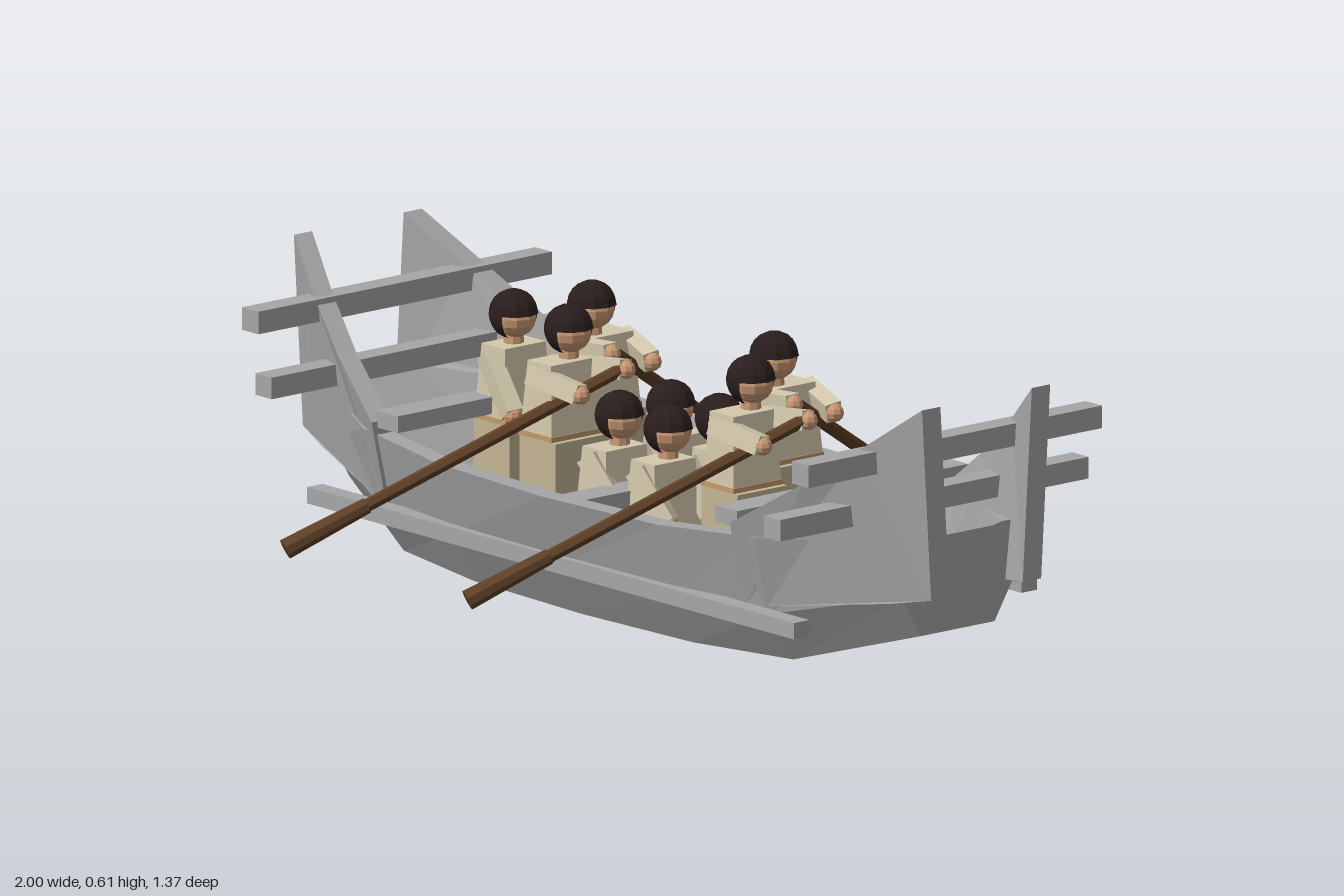
import * as THREE from 'three';

const mat = (name, color) => {
  const m = new THREE.MeshStandardMaterial({ color, flatShading: true, side: THREE.DoubleSide });
  m.name = name;
  return m;
};

export function createModel() {
  const root = new THREE.Group();
  const M = {
    wood: mat('grey wood', 0xa6a6a6),
    cloth: mat('beige cloth', 0xd3c8ac),
    skirt: mat('tan cloth', 0xc4b595),
    belt: mat('belt tan', 0xc49a6c),
    skin: mat('skin', 0xc99873),
    hair: mat('dark hair', 0x2a1d1d),
    oar: mat('oar brown', 0x5e4026),
  };
  const add = (parent, name, geo, m, x = 0, y = 0, z = 0) => {
    const mesh = new THREE.Mesh(geo, m);
    mesh.name = name;
    mesh.position.set(x, y, z);
    parent.add(mesh);
    return mesh;
  };
  const box = (parent, name, m, w, h, d, x, y, z) =>
    add(parent, name, new THREE.BoxGeometry(w, h, d), m, x, y, z);
  // Place a y-aligned part so that it runs from a to b
  const span = (mesh, a, b) => {
    mesh.position.copy(a).lerp(b, 0.5);
    mesh.quaternion.setFromUnitVectors(new THREE.Vector3(0, 1, 0), b.clone().sub(a).normalize());
    return mesh;
  };
  const V = (x, y, z) => new THREE.Vector3(x, y, z);

  // Hull shell: x, keel y, floor half width, chine y, chine, rim y, rim, inner floor y
  const half = [
    [0, 0, 0.245, 0.115, 0.31, 0.27, 0.36, 0.06],
    [0.35, 0.004, 0.24, 0.115, 0.303, 0.272, 0.343, 0.06],
    [0.62, 0.012, 0.2, 0.12, 0.27, 0.29, 0.31, 0.06],
    [0.91, 0.1, 0.1, 0.19, 0.155, 0.31, 0.165, 0.305],
  ];
  const stations = [...half.slice(1).reverse().map(([x, ...r]) => [-x, ...r]), ...half];
  const rings = stations.map(([x, y0, b, cy, c, ty, t, fy]) => {
    const side = [[b, y0], [c, cy], [t, ty], [t - 0.045, ty], [c - 0.06, fy]];
    return [...side, ...side.slice().reverse().map(([z, y]) => [-z, y])].map(([z, y]) => V(x, y, z));
  });
  const tri = [];
  const n = rings[0].length;
  for (let i = 0; i < rings.length - 1; i++) {
    for (let j = 0; j < n; j++) {
      const k = (j + 1) % n;
      const [a, b, c, d] = [rings[i][j], rings[i + 1][j], rings[i + 1][k], rings[i][k]];
      tri.push(a, b, c, a, c, d);
    }
  }
  const first = rings[0], last = rings[rings.length - 1];
  for (let j = 1; j < n - 1; j++) {
    tri.push(first[0], first[j], first[j + 1], last[0], last[j + 1], last[j]);
  }
  const hullGeo = new THREE.BufferGeometry().setFromPoints(tri);
  hullGeo.computeVertexNormals();
  add(root, 'hull', hullGeo, M.wood);

  // Four rising end planks that lean outwards and close in towards the tips
  const outline = [[0.57, 0.13], [0.9, 0.18], [1, 0.2], [1, 0.61], [0.87, 0.512], [0.74, 0.42], [0.57, 0.315]];
  const plankGeo = new THREE.ExtrudeGeometry(
    new THREE.Shape(outline.map(([x, y]) => new THREE.Vector2(x, y))),
    { depth: 0.05, bevelEnabled: false });
  const p = plankGeo.attributes.position;
  for (let i = 0; i < p.count; i++) {
    const x = p.getX(i), y = p.getY(i), t = (x - 0.57) / 0.43;
    const inner = 0.29 + (y - 0.13) * 0.22;
    const tip = 0.15 + (y - 0.2) * 0.06;
    p.setZ(i, p.getZ(i) - 0.05 + inner * (1 - t) + tip * t);
  }
  plankGeo.computeVertexNormals();
  for (const sx of [1, -1]) {
    for (const sz of [1, -1]) add(root, 'endPlank', plankGeo, M.wood).scale.set(sx, 1, sz);
    // Cross beams and end thwart
    box(root, 'upperCrossBeam', M.wood, 0.052, 0.048, 0.8, sx * 0.876, 0.486, 0);
    box(root, 'lowerCrossBeam', M.wood, 0.052, 0.046, 0.84, sx * 0.81, 0.362, 0);
    box(root, 'endThwart', M.wood, 0.07, 0.036, 0.63, sx * 0.54, 0.32, 0);
    // Outer rubbing rails, one per side
    box(root, 'sideRail', M.wood, 1.55, 0.035, 0.042, 0, 0.122, sx * 0.31);
  }
  box(root, 'middleThwart', M.wood, 0.07, 0.036, 0.62, 0, 0.235, 0);

  // Oars
  const oar = (butt, tip) => {
    const g = new THREE.Group();
    g.name = 'oar';
    root.add(g);
    const len = butt.distanceTo(tip);
    span(add(g, 'oarShaft', new THREE.CylinderGeometry(0.014, 0.014, len, 6), M.oar), butt, tip);
    const neck = butt.clone().lerp(tip, 0.76);
    const blade = add(g, 'oarBlade', new THREE.CylinderGeometry(0.022, 0.017, len * 0.24, 8), M.oar);
    span(blade, neck, tip);
  };
  for (const dx of [0, 0.58]) {
    oar(V(-0.12 + dx, 0.47, 0.02), V(-0.455 + dx, 0.12, 0.665));
    oar(V(-0.24 + dx, 0.47, -0.04), V(-0.575 + dx, 0.12, -0.675));
  }

  // Crew, all facing +x; origin is the centre of the head
  const torsoGeo = new THREE.BoxGeometry(0.1, 0.155, 0.13);
  const tp = torsoGeo.attributes.position;
  for (let i = 0; i < tp.count; i++) {
    if (tp.getY(i) > 0) tp.setXYZ(i, tp.getX(i) * 0.75, tp.getY(i), tp.getZ(i) * 0.85);
  }
  torsoGeo.computeVertexNormals();
  const person = (name, x, y, z, shift, hands) => {
    const g = new THREE.Group();
    g.name = name;
    g.position.set(x, y, z);
    root.add(g);
    add(g, 'face', new THREE.SphereGeometry(0.044, 10, 8), M.skin, 0.006, -0.004, 0);
    add(g, 'hairTop', new THREE.SphereGeometry(0.053, 10, 5, 0, Math.PI * 2, 0, Math.PI * 0.48), M.hair);
    add(g, 'hairBack', new THREE.SphereGeometry(0.052, 10, 6, -Math.PI * 0.62, Math.PI * 1.24,
      Math.PI * 0.45, Math.PI * 0.4), M.hair);
    add(g, 'neck', new THREE.CylinderGeometry(0.02, 0.022, 0.04, 8), M.skin, 0, -0.05, 0);
    add(g, 'torso', torsoGeo, M.cloth, 0, -0.138, shift);
    box(g, 'belt', M.belt, 0.104, 0.012, 0.134, 0, -0.215, shift);
    const drop = y - 0.22 - 0.06;
    box(g, 'skirt', M.skirt, 0.115, drop, 0.135, 0.008, -0.22 - drop / 2, shift);
    hands.forEach(([hx, hy, hz], i) => {
      const shoulder = V(0, -0.085, shift + (i ? -0.066 : 0.066));
      const hand = V(hx, hy, hz);
      const wrist = shoulder.clone().lerp(hand, 0.9);
      const len = shoulder.distanceTo(wrist) + 0.02;
      span(add(g, 'sleeve', new THREE.BoxGeometry(0.042, len, 0.036), M.cloth), shoulder, wrist);
      add(g, 'hand', new THREE.SphereGeometry(0.02, 8, 6), M.skin, hx, hy, hz);
    });
  };
  for (const dx of [0, 0.58]) {
    person('nearRower', -0.235 + dx, 0.538, 0.08, 0.025, [[0.115, -0.11, 0.066], [0.115, -0.075, -0.058]]);
    person('farRower', -0.36 + dx, 0.538, -0.09, -0.025, [[0.115, -0.075, 0.045], [0.115, -0.11, -0.066]]);
  }
  person('helmsman', -0.51, 0.505, -0.005, 0, [[0.085, -0.19, 0.075], [0.085, -0.19, -0.075]]);
  for (const x of [-0.085, 0.07]) {
    for (const z of [-0.07, 0.07]) {
      person('passenger', x, 0.38, z, z * 0.2, [[0.07, -0.18, 0.06], [0.07, -0.18, -0.06]]);
    }
  }
  return root;
}
